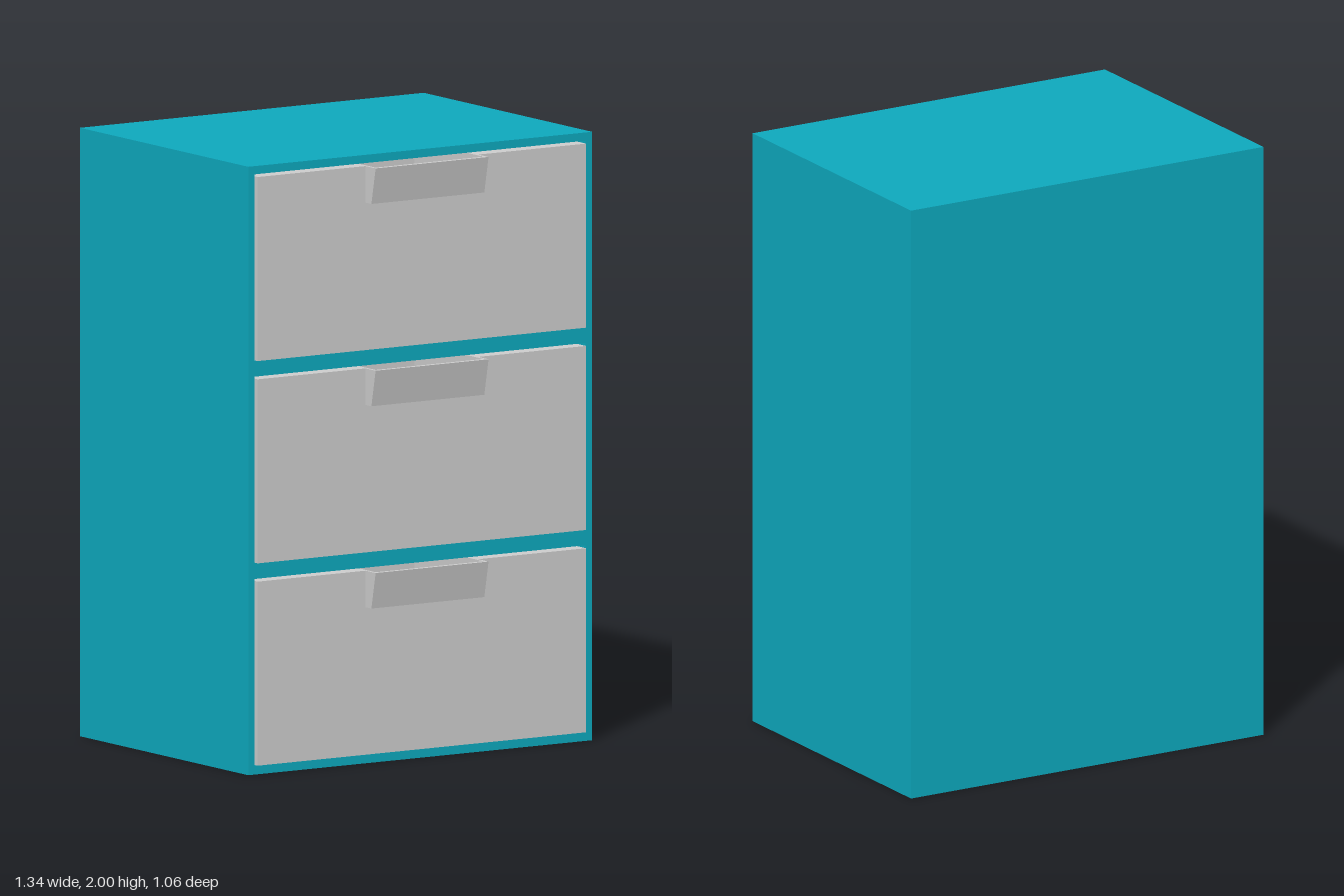
import * as THREE from 'three';

const BACK = 0.1;        // depth at which the drawer bays end
const FRONT = 0.46;      // front plane of the cabinet
const DRAWER_H = 0.605;
const BASES = [0.03, 0.695, 1.36];

const shapeOf = (points) => new THREE.Shape(points.map(([x, y]) => new THREE.Vector2(x, y)));
const rect = (x, y0, y1) => [[-x, y0], [x, y0], [x, y1], [-x, y1]];

function addMesh(parent, name, geometry, material) {
  const mesh = new THREE.Mesh(geometry, material);
  mesh.name = name;
  parent.add(mesh);
  return mesh;
}

// Extrudes a front-facing outline between two z values
const extrudeZ = (shape, z0, z1) =>
  new THREE.ExtrudeGeometry(shape, { depth: z1 - z0, bevelEnabled: false }).translate(0, 0, z0);

// Extrudes a (z, y) side profile across x
const extrudeX = (points, x0, x1) =>
  new THREE.ExtrudeGeometry(shapeOf(points), { depth: x1 - x0, bevelEnabled: false })
    .rotateY(-Math.PI / 2).translate(x1, 0, 0);

export function createModel() {
  const model = new THREE.Group();
  model.name = 'drawerCabinet';
  const teal = new THREE.MeshStandardMaterial({ color: 0x0da7bc });
  const grey = new THREE.MeshStandardMaterial({ color: 0xcccccc });

  // Cabinet: frame with three bays, closed by a solid rear block
  const cabinet = new THREE.Group();
  cabinet.name = 'cabinet';
  model.add(cabinet);
  const frame = shapeOf(rect(0.67, 0, 2));
  for (const y of BASES) frame.holes.push(shapeOf(rect(0.645, y, y + DRAWER_H + 0.008)));
  addMesh(cabinet, 'frontFrame', extrudeZ(frame, BACK, FRONT), teal);
  addMesh(cabinet, 'rearBody', extrudeZ(shapeOf(rect(0.67, 0, 2)), -0.53, BACK), teal);

  BASES.forEach((y, i) => {
    const drawer = new THREE.Group();
    drawer.name = `drawer${i + 1}`;
    drawer.position.y = y;
    model.add(drawer);

    // Drawer block with a finger notch in its top edge
    const top = DRAWER_H, low = top - 0.12, floor = low + 0.012;
    const outline = shapeOf([
      [-0.64, 0], [0.64, 0], [0.64, top], [0.21, top],
      [0.21, floor], [-0.21, floor], [-0.21, top], [-0.64, top],
    ]);
    addMesh(drawer, 'drawerFront', extrudeZ(outline, BACK + 0.01, 0.47), grey);
    const back = addMesh(drawer, 'notchBack', new THREE.BoxGeometry(0.44, 0.13, 0.01), grey);
    back.position.set(0, top - 0.065, BACK + 0.006);

    // Sloped cup handle, open at the top
    const handle = new THREE.Group();
    handle.name = 'handle';
    drawer.add(handle);
    const lip = [[0.46, low], [0.505, low], [0.53, top], [0.515, top], [0.488, floor], [0.46, floor]];
    addMesh(handle, 'handleLip', extrudeX(lip, -0.21, 0.21), grey);
    const cap = [[0.46, low], [0.505, low], [0.53, top], [0.46, top]];
    addMesh(handle, 'handleRightEnd', extrudeX(cap, -0.22, -0.21), grey);
    addMesh(handle, 'handleLeftEnd', extrudeX(cap, 0.21, 0.22), grey);
  });

  return model;
}
